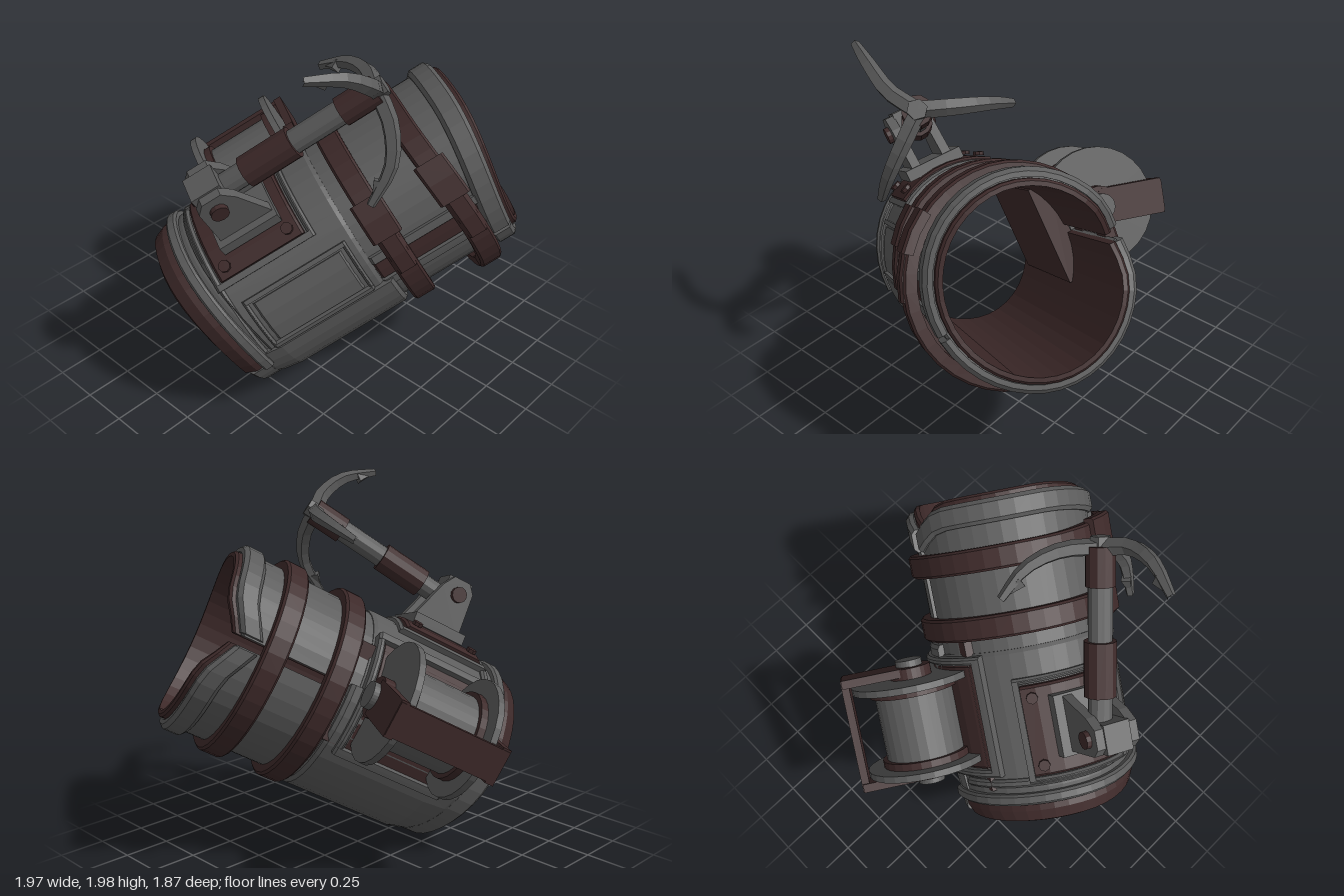
import * as THREE from 'three';

const gray = new THREE.MeshStandardMaterial({ color: 0x5b5b5b });
gray.name = 'steel gray';
const brown = new THREE.MeshStandardMaterial({ color: 0x3d2929 });
brown.name = 'dark leather';

const RX = 0.44, RY = 0.47;
const rad = THREE.MathUtils.degToRad;
const V = (x, y, z) => new THREE.Vector3(x, y, z);

function add(parent, name, geo, mat, pos) {
  const g = geo.index ? geo.toNonIndexed() : geo;
  g.computeVertexNormals(); // faceted look
  const m = new THREE.Mesh(g, mat);
  m.name = name;
  if (pos) m.position.set(...pos);
  parent.add(m);
  return m;
}

// Point on the sleeve: angle in degrees, offset from the base ellipse, position on the axis.
// The front dips at the left and below, the rear at the left and beside the slit on the right.
function onSleeve(deg, off, t) {
  const a = rad(deg), c = Math.max(0, Math.cos(a)) ** 2, s = Math.max(0, -Math.cos(a)) ** 24;
  let z = t;
  if (t > -0.15) z -= 0.06 * c + 0.09 * Math.max(0, -Math.sin(a)) ** 2;
  if (t < -1.47) z += 0.07 * c + 0.1 * s;
  return V((RX + off) * Math.cos(a), (RY + off) * Math.sin(a), z);
}

// Sweeps a counter-clockwise (offset, z) profile around the sleeve; bulge lifts it off the left side.
function sweep(profile, d0, d1, bulge = 0) {
  const n = Math.max(2, Math.round((d1 - d0) / 9)), k = profile.length, pos = [];
  const tri = (...ps) => ps.forEach(p => pos.push(p.x, p.y, p.z));
  const ring = i => {
    const d = d0 + (d1 - d0) * i / n, lift = bulge * Math.max(0, Math.cos(rad(d))) ** 2;
    return profile.map(([o, t]) => onSleeve(d, o + lift, t - lift));
  };
  for (let i = 0; i < n; i++) {
    const p = ring(i), q = ring(i + 1);
    for (let j = 0; j < k; j++) {
      const m = (j + 1) % k;
      tri(p[j], q[j], q[m]);
      tri(p[j], q[m], p[m]);
    }
  }
  if (d1 - d0 < 360) {
    const p = ring(0), q = ring(n);
    for (let j = 1; j < k - 1; j++) {
      tri(p[0], p[j], p[j + 1]);
      tri(q[0], q[j + 1], q[j]);
    }
  }
  const g = new THREE.BufferGeometry();
  g.setAttribute('position', new THREE.Float32BufferAttribute(pos, 3));
  return g;
}

// Curved slab with bevelled outer edges
const slab = (o0, o1, z0, z1, d0 = 0, d1 = 360, b = 0.012, bulge = 0) =>
  sweep([[o0, z0], [o1 - b, z0], [o1, z0 + b], [o1, z1 - b], [o1 - b, z1], [o0, z1]], d0, d1, bulge);

// Rectangular raised frame
function frame(parent, name, o0, o1, z0, z1, d0, d1, w, mat) {
  const dw = w / 0.48 * 57.3;
  add(parent, name, slab(o0, o1, z0, z0 + w, d0, d1), mat);
  add(parent, name, slab(o0, o1, z1 - w, z1, d0, d1), mat);
  add(parent, name, slab(o0, o1, z0, z1, d0, d0 + dw), mat);
  add(parent, name, slab(o0, o1, z0, z1, d1 - dw, d1), mat);
}

function rod(parent, name, p0, p1, r, mat, sides = 12) {
  const m = add(parent, name, new THREE.CylinderGeometry(r, r, p0.distanceTo(p1), sides), mat);
  m.position.copy(p0).lerp(p1, 0.5);
  m.quaternion.setFromUnitVectors(V(0, 1, 0), p1.clone().sub(p0).normalize());
}

function sleeve(g) {
  // liner, slit along the right side
  add(g, 'liner', slab(-0.03, 0.004, -1.64, 0.02, -177, 177), brown);
  add(g, 'frontCollar', sweep([[-0.06, -0.06], [0.03, -0.06], [0.035, 0], [0.01, 0.06], [-0.03, 0.075], [-0.06, 0.05]], -5, 185), brown);
  // rear sleeve and front armour
  add(g, 'rearSleeve', slab(0, 0.025, -1.6, -0.8, -177, 177), gray);
  add(g, 'lowerShell', sweep([[0, -0.9], [0.045, -0.9], [0.06, -0.88], [0.06, -0.25], [0.045, -0.08], [0.012, 0.01], [0, 0.01]], 176, 368), gray);
  add(g, 'upperShell', sweep([[0, -0.85], [0.03, -0.85], [0.04, -0.83], [0.04, -0.12], [0.02, -0.02], [0, -0.02]], 8, 176), gray);
  add(g, 'frontRim', slab(0.01, 0.07, -0.1, -0.04, -2, 190), gray);
  add(g, 'frontRidge', slab(0.02, 0.06, -0.18, -0.135, 10, 170), gray);
  add(g, 'lowerLip', slab(0.003, 0.04, -0.08, 0.04, 185, 355, 0.015), gray);
  // rear rim with upper and lower lobes
  add(g, 'rearRimUpper', slab(0.01, 0.055, -1.61, -1.49, -5, 176, 0.02), gray);
  add(g, 'rearRimLower', slab(0.01, 0.055, -1.61, -1.49, 184, 352, 0.02), gray);
  // straps with buckles; the rear one stands off the left side
  for (const [t, bulge] of [[-0.98, 0.01], [-1.32, 0.05]]) {
    add(g, 'strap', slab(0.015, 0.08, t - 0.06, t + 0.06, 0, 360, 0.012, bulge), brown);
    add(g, 'buckle', slab(0.05, 0.105, t - 0.08, t + 0.08, 36, 58, 0.012, bulge), brown);
    add(g, 'strapTip', slab(0.05, 0.095, t - 0.05, t + 0.05, 14, 36, 0.012, bulge), brown);
  }
  // side strips between the straps
  add(g, 'sideStrip', slab(0.015, 0.034, -1.45, -0.85, 10, 22), brown);
  add(g, 'sideRail', slab(0.015, 0.045, -1.45, -0.85, 3, 9), gray);
  add(g, 'sideRail', slab(0.015, 0.045, -1.45, -0.85, 23, 28), gray);
  // left side panel
  frame(g, 'sidePanelFrame', 0.03, 0.06, -0.8, -0.22, 9, 45, 0.022, gray);
  add(g, 'sidePanel', slab(0.03, 0.05, -0.76, -0.26, 13, 41), gray);
}

function spool(g) {
  const x = -0.66, mid = -0.53;
  frame(g, 'spoolMount', 0.02, 0.09, -0.84, -0.2, 140, 215, 0.04, gray);
  add(g, 'spoolMountPlate', slab(0.02, 0.06, -0.8, -0.24, 143, 212), brown);
  // inner housing closes the spool off from the sleeve
  add(g, 'spoolHousing', new THREE.BoxGeometry(0.12, 0.54, 0.8), brown, [-0.37, 0, -0.52]);
  const disc = (name, r, z, h, mat) => {
    const geo = new THREE.CylinderGeometry(r, r, h, 28).rotateX(Math.PI / 2);
    add(g, name, geo, mat, [x, 0, z]);
  };
  disc('drum', 0.21, mid, 0.44, gray);
  const bracket = new THREE.Group();
  bracket.name = 'spoolBracket';
  bracket.position.set(x, 0, mid);
  bracket.rotation.z = rad(16);
  g.add(bracket);
  for (const s of [1, -1]) {
    disc('flange', 0.32, mid + s * 0.225, 0.035, gray);
    disc('drumCuff', 0.235, mid + s * 0.19, 0.04, brown);
    disc('hub', 0.11, mid + s * 0.27, 0.06, brown);
    disc('hubCap', 0.07, mid + s * 0.315, 0.04, gray);
    add(bracket, 'spoolArm', new THREE.BoxGeometry(0.36, 0.19, 0.045), brown, [-0.18, 0, s * 0.28]);
  }
  add(bracket, 'spoolGuard', new THREE.BoxGeometry(0.04, 0.17, 0.6), brown, [-0.345, 0, 0]);
}

function hookMount(g) {
  frame(g, 'mountFrame', 0.03, 0.07, -0.7, -0.15, 56, 124, 0.03, gray);
  add(g, 'mountPlate', slab(0.03, 0.085, -0.66, -0.19, 60, 120), brown);
  for (const d of [66, 114]) for (const t of [-0.6, -0.25]) {
    const p = onSleeve(d, 0.09, t);
    rod(g, 'rivet', p, p.clone().add(V(p.x, p.y, 0).normalize().multiplyScalar(0.02)), 0.03, brown, 8);
  }
  add(g, 'mountFoot', new THREE.BoxGeometry(0.32, 0.06, 0.32), gray, [0.02, 0.57, -0.44]);
  // pivot cheeks: outline in the axis/up plane
  const s = new THREE.Shape([[0.3, 0.57], [0.6, 0.57], [0.5, 0.82], [0.45, 0.89], [0.35, 0.89], [0.31, 0.84]]
    .map(p => new THREE.Vector2(...p)));
  for (const x of [-0.09, 0.09]) {
    const geo = new THREE.ExtrudeGeometry(s, { depth: 0.05, bevelEnabled: false }).rotateY(Math.PI / 2);
    add(g, 'pivotCheek', geo, gray, [x, 0, 0]);
  }
  rod(g, 'pivotPin', V(-0.115, 0.8, -0.395), V(0.165, 0.8, -0.395), 0.045, brown);
  add(g, 'pivotBlock', new THREE.BoxGeometry(0.14, 0.16, 0.15), gray, [0.025, 0.82, -0.39]);
}

// Tapered claw along a curve
function claw(g, pts) {
  const curve = new THREE.CatmullRomCurve3(pts);
  const n = 8, sides = 5;
  const geo = new THREE.TubeGeometry(curve, n, 0.044, sides);
  const p = geo.attributes.position, v = V();
  for (let i = 0; i < p.count; i++) {
    const u = Math.floor(i / (sides + 1)) / n, c = curve.getPointAt(u);
    v.fromBufferAttribute(p, i).sub(c).multiplyScalar(1 - 0.5 * u ** 2).add(c);
    p.setXYZ(i, v.x, v.y, v.z);
  }
  add(g, 'claw', geo, gray);
  // barb folded back from the tip
  const tip = pts[3], back = curve.getPointAt(0.82).lerp(V(0.45, 1.72, 0.25), 0.08);
  const len = tip.distanceTo(back);
  const m = add(g, 'barb', new THREE.ConeGeometry(0.035, len, 4), gray);
  m.position.copy(tip).lerp(back, 0.5);
  m.quaternion.setFromUnitVectors(V(0, 1, 0), tip.clone().sub(back).normalize());
}

function grapple(g) {
  const p0 = V(-0.01, 1.27, 0.71), p1 = V(0.5, 1.78, 0.16);
  const at = k => p0.clone().lerp(p1, k);
  rod(g, 'rod', p0, at(0.95), 0.06, gray);
  rod(g, 'socket', at(0.2), at(0.5), 0.08, brown);
  rod(g, 'collar', at(0.79), at(1), 0.073, brown);
  rod(g, 'head', at(0.97), at(1.05), 0.05, gray, 6);
  claw(g, [V(0.5, 1.78, 0.17), V(0.56, 1.86, 0.28), V(0.54, 1.94, 0.42), V(0.46, 1.97, 0.6)]);
  claw(g, [V(0.5, 1.78, 0.17), V(0.35, 1.78, 0.05), V(0.18, 1.75, -0.01), V(0.01, 1.68, 0)]);
  claw(g, [V(0.5, 1.77, 0.16), V(0.59, 1.65, 0.17), V(0.65, 1.48, 0.22), V(0.62, 1.29, 0.32)]);
}

export function createModel() {
  const model = new THREE.Group();
  model.name = 'grappleBracer';
  // tilted frame of the sleeve: local z runs out of the front opening
  const z = V(-0.47, -0.476, 0.744).normalize();
  const x = V(0, 0.843, 0.538).cross(z).normalize();
  const y = z.clone().cross(x);
  const bracer = new THREE.Group();
  bracer.name = 'bracer';
  bracer.quaternion.setFromRotationMatrix(new THREE.Matrix4().makeBasis(x, y, z));
  bracer.position.set(-0.2, 0.43, 0.6);
  sleeve(bracer);
  spool(bracer);
  hookMount(bracer);
  const hook = new THREE.Group();
  hook.name = 'grapplingHook';
  grapple(hook);
  model.add(bracer, hook);
  return model;
}
